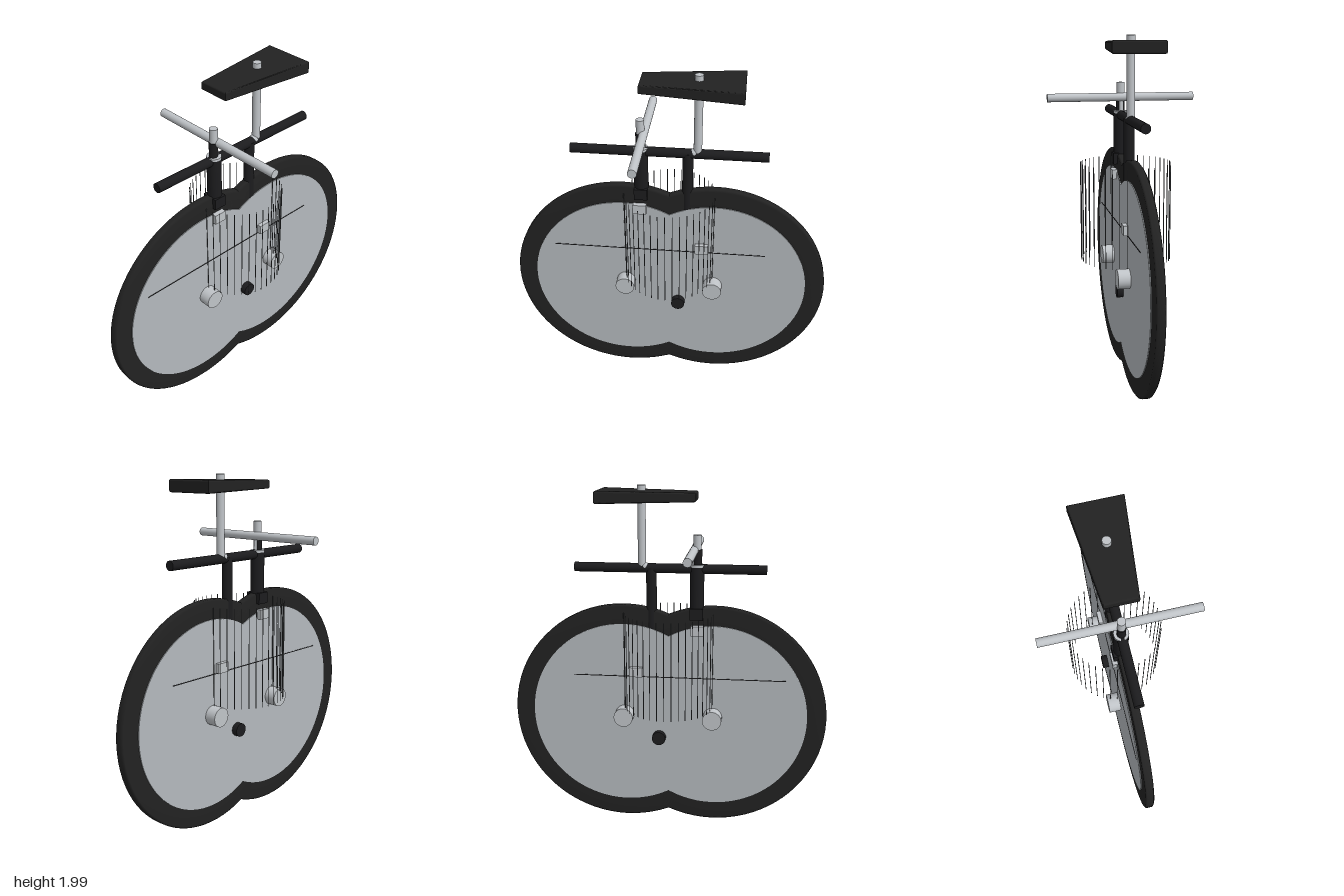
import * as THREE from 'three';

const mat = (name, color, side = THREE.FrontSide) => {
  const m = new THREE.MeshStandardMaterial({ color, side });
  m.name = name;
  return m;
};

export function createModel() {
  const model = new THREE.Group();
  model.name = 'bicycle';
  const rubber = mat('black rubber', 0x222222);
  const paint = mat('black paint', 0x1c1c1e);
  const silver = mat('silver', 0xc0c4c8);
  const discGrey = mat('disc grey', 0xb4b9bd);
  const wire = mat('wire grey', 0x55585a);

  const add = (name, geometry, material, x = 0, y = 0, z = 0) => {
    const mesh = new THREE.Mesh(geometry, material);
    mesh.name = name;
    mesh.position.set(x, y, z);
    model.add(mesh);
    return mesh;
  };
  const box = (name, w, h, d, m, x, y, z) => add(name, new THREE.BoxGeometry(w, h, d), m, x, y, z);
  // Cylinder running along the given axis
  const rod = (name, axis, r, length, m, x, y, z, sides = 24) => {
    const g = new THREE.CylinderGeometry(r, r, length, sides);
    if (axis === 'x') g.rotateZ(Math.PI / 2);
    if (axis === 'z') g.rotateX(Math.PI / 2);
    return add(name, g, m, x, y, z);
  };

  // Wheels: tyre ring, solid disc and hub, overlapping at the middle
  const tyreProfile = [[0.54, -0.025], [0.65, -0.025], [0.661, -0.017], [0.661, 0.017], [0.65, 0.025], [0.54, 0.025]]
    .map(([r, h]) => new THREE.Vector2(r, h));
  for (const [end, z] of [['front', 0.26], ['rear', -0.26]]) {
    const tyre = new THREE.LatheGeometry(tyreProfile, 80).rotateZ(Math.PI / 2);
    add(end + 'Tyre', tyre, rubber, 0, 0.667, z);
    rod(end + 'Disc', 'x', 0.55, 0.06, discGrey, 0, 0.667, z, 80);
    rod(end + 'Hub', 'x', 0.056, 0.2, silver, 0, 0.667, z, 32);
  }

  // Ring of thin upright wires
  const wires = 40;
  for (let i = 0; i < wires; i++) {
    const a = (i / wires) * Math.PI * 2;
    rod('wire', 'y', 0.0022, 0.57, wire, 0.26 * Math.cos(a), 1.0, 0.26 * Math.sin(a), 6);
  }

  // Frame
  rod('topTube', 'z', 0.027, 1.09, paint, 0, 1.54, 0.005);
  rod('headTube', 'y', 0.04, 0.3, paint, 0, 1.405, 0.16);
  rod('seatTube', 'y', 0.03, 0.4, paint, 0, 1.345, -0.1);
  box('forkCrown', 0.095, 0.065, 0.075, paint, 0, 1.285, 0.16);
  rod('bottomBracket', 'x', 0.04, 0.13, paint, 0, 0.53, -0.055);
  box('chain', 0.064, 0.005, 1.24, paint, 0, 0.903, 0.06);

  // Brakes
  box('frontBrake', 0.11, 0.057, 0.075, silver, 0, 1.19, 0.167);
  box('rearBrake', 0.11, 0.057, 0.078, silver, 0, 0.934, -0.19);

  // Steering
  rod('headset', 'y', 0.041, 0.014, silver, 0, 1.558, 0.16);
  rod('steerer', 'y', 0.024, 0.1, paint, 0, 1.6, 0.163);
  rod('stem', 'y', 0.023, 0.1, silver, 0, 1.68, 0.16);
  rod('stemClamp', 'y', 0.011, 0.08, silver, 0, 1.605, 0.143);
  rod('handlebar', 'x', 0.024, 0.86, silver, 0, 1.645, 0.143);

  // Seat post and collar
  rod('seatPost', 'y', 0.023, 0.46, silver, 0, 1.77, -0.153);
  add('seatCollar', new THREE.SphereGeometry(0.027, 20, 12), silver, 0, 1.545, -0.135);

  // Saddle: bevelled wedge, narrower and thinner to the front
  const outline = new THREE.Shape([[-0.135, 0.385], [-0.08, -0.145], [0.08, -0.145], [0.135, 0.385]]
    .map(([x, y]) => new THREE.Vector2(x, y)));
  const saddle = new THREE.ExtrudeGeometry(outline, {
    depth: 0.05, bevelThickness: 0.01, bevelSize: 0.01, bevelSegments: 3,
  });
  saddle.translate(0, 0, -0.025).rotateX(-Math.PI / 2);
  const p = saddle.attributes.position;
  for (let i = 0; i < p.count; i++) {
    const t = (p.getZ(i) + 0.395) / 0.55;
    p.setY(i, p.getY(i) * (1 - 0.3 * t));
  }
  saddle.computeVertexNormals();
  add('saddle', saddle, rubber, 0, 1.94, 0);

  return model;
}
